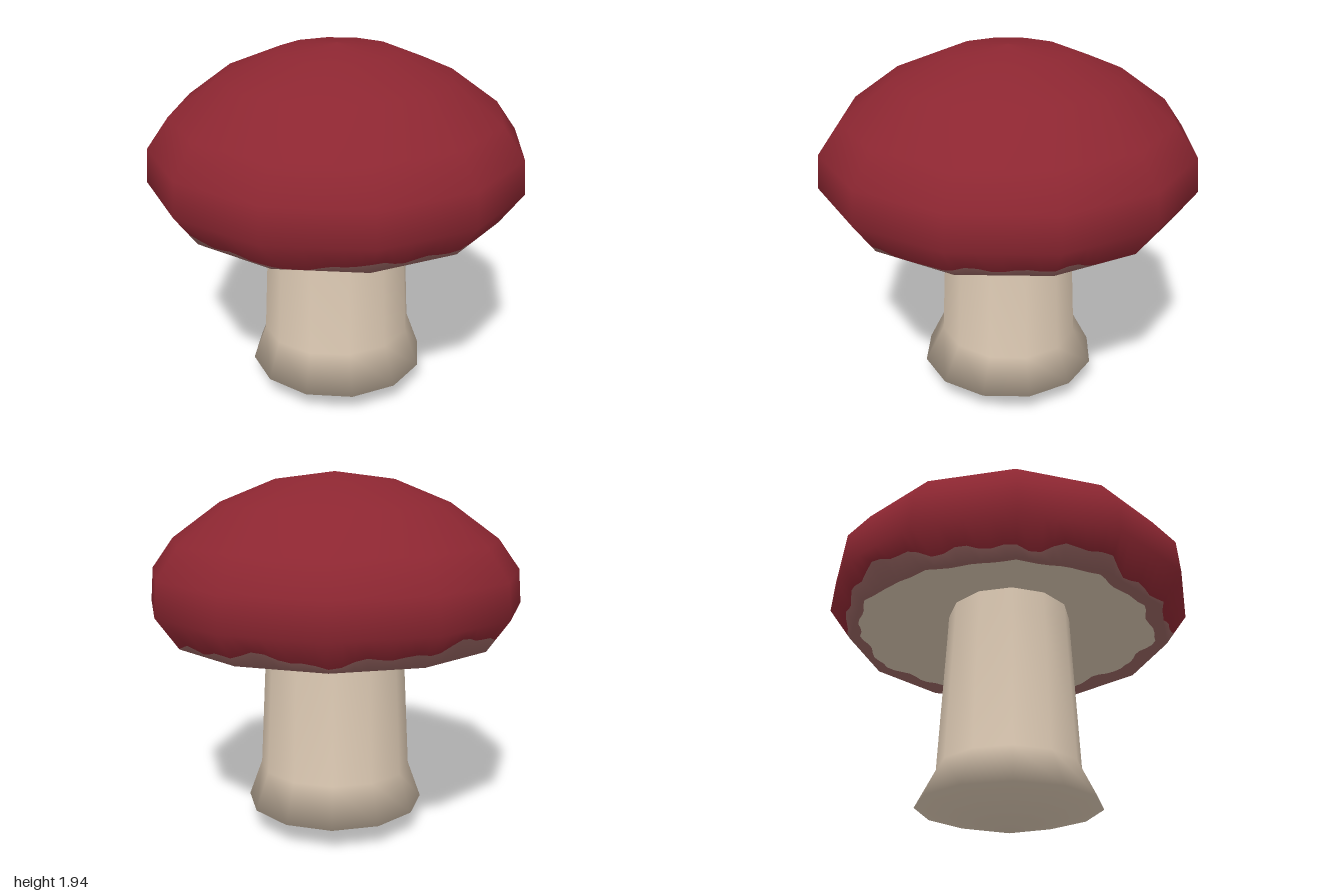
import * as THREE from 'three';

const SIDES = 12;
const SUB = 8; // fine steps per side, so the ragged colour borders can be drawn

const mat = (name, color) => {
  const m = new THREE.MeshStandardMaterial({ color });
  m.name = name;
  return m;
};

const lathe = (pts, segments) =>
  new THREE.LatheGeometry(pts.map(([r, y]) => new THREE.Vector2(r, y)), segments);

// irregular value from -1 to 1 around the rim
const ragged = (a) =>
  0.45 * Math.sin(5 * a + 1) + 0.3 * Math.sin(11 * a + 2.3) + 0.25 * Math.sin(23 * a + 0.7);

function capGeometry() {
  // rows: gill centre, gill border, rim, skin border, then the dome
  const profile = [
    [0.3, 1.23], [0.8, 1.1], [0.88, 1.08], [0.91, 1.122], [1, 1.25],
    [0.985, 1.43], [0.87, 1.59], [0.61, 1.78], [0.315, 1.9], [0, 1.94],
  ];
  const segments = SIDES * SUB;
  const rows = profile.length;
  const geo = lathe(profile, segments);
  const pos = geo.attributes.position;
  const step = (2 * Math.PI) / SIDES;

  for (let i = 0; i <= segments; i++) {
    const a = (i / segments) * 2 * Math.PI;
    const flat = Math.cos(step / 2) / Math.cos((a % step) - step / 2);
    const back = Math.max(0, -(Math.sin(a) + Math.cos(a)) / 1.42);
    for (let j = 0; j < rows; j++) {
      let [r, y] = profile[j];
      if (j === 1) { // wavy edge of the pale gills
        const d = Math.max(0.01, 0.08 + 0.03 * ragged(a + 2) - 0.06 * back);
        r = 0.88 - d;
        y = 1.08 + d * 0.26;
      }
      if (j === 3) { // wavy lower edge of the red skin
        const d = Math.max(0.002, 0.025 + 0.05 * ragged(a) + 0.05 * back);
        r = 0.88 + d * 0.7;
        y = 1.08 + d;
      }
      r *= flat; // keep straight sides between the corners
      pos.setXYZ(i * rows + j, r * Math.sin(a), y, r * Math.cos(a));
    }
  }

  // order the faces row by row, so each colour is one group
  const index = [];
  const bands = [[0, 1], [1, 3], [3, rows - 1]];
  bands.forEach(([from, to], k) => {
    const start = index.length;
    for (let j = from; j < to; j++) {
      for (let i = 0; i < segments; i++) {
        const a = i * rows + j, b = a + rows;
        index.push(a, b, a + 1, b + 1, a + 1, b);
      }
    }
    geo.addGroup(start, index.length - start, k);
  });
  geo.setIndex(index);
  return geo;
}

function stemGeometry() {
  const geo = lathe([[0, 0.005], [0.485, 0.13], [0.413, 0.33], [0.373, 1.08], [0.365, 1.25]], SIDES);
  const pos = geo.attributes.position;
  // the shaft is slightly narrower from front to back than the foot
  for (let i = 0; i < pos.count; i++) {
    if (pos.getY(i) > 0.2) pos.setZ(i, pos.getZ(i) * 0.92);
  }
  return geo;
}

export function createModel() {
  const red = mat('cap red', 0x8c2631);
  const mauve = mat('rim mauve', 0x9c6865);
  const cream = mat('stem cream', 0xdcc9b3);

  const group = new THREE.Group();
  group.name = 'mushroom';

  const cap = new THREE.Mesh(capGeometry(), [cream, mauve, red]);
  cap.name = 'cap';
  const stem = new THREE.Mesh(stemGeometry(), cream);
  stem.name = 'stem';

  group.add(cap, stem);
  return group;
}
